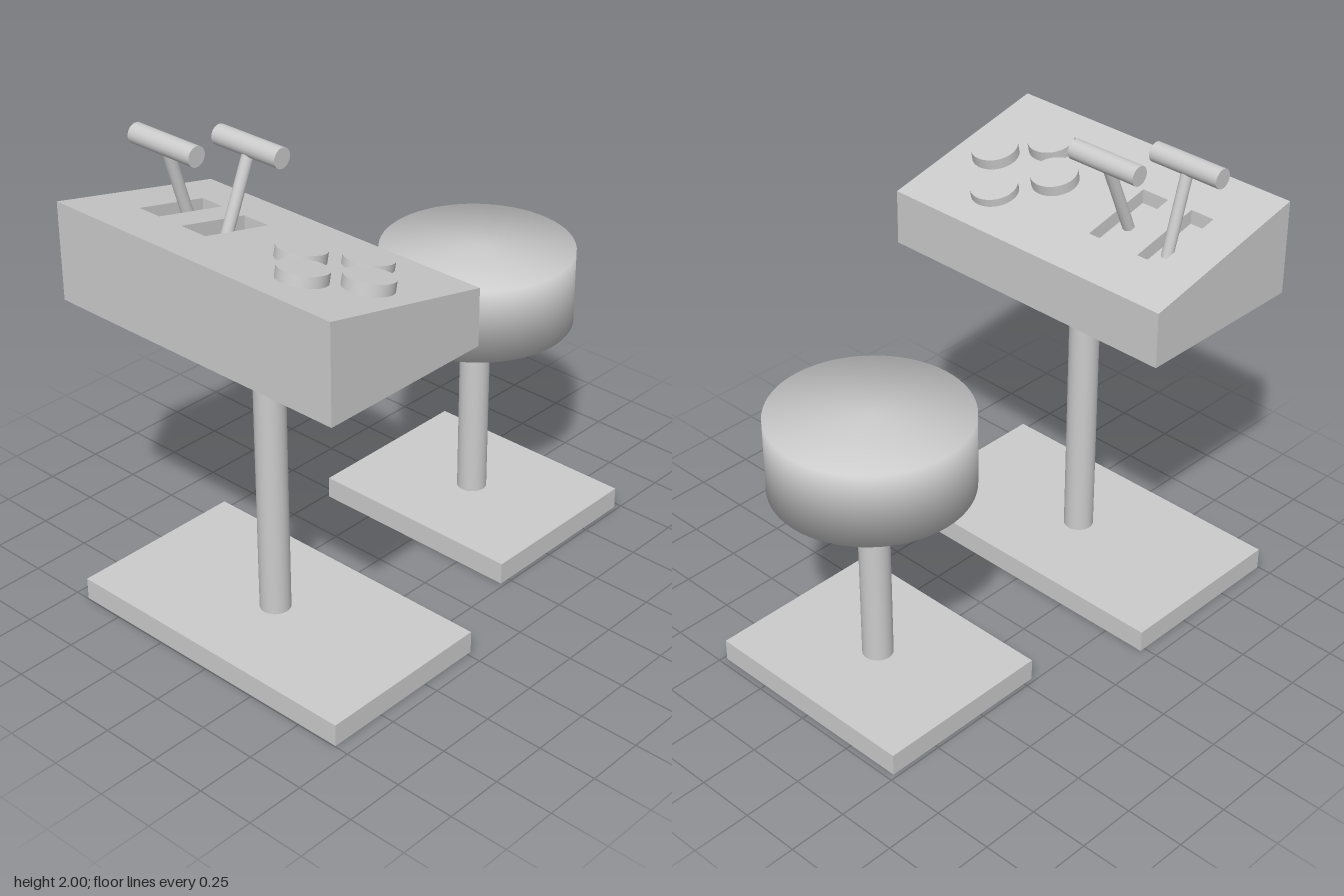
import * as THREE from 'three';

const material = new THREE.MeshStandardMaterial({ color: 0xcccccc });
const CONSOLE_X = -0.612, STOOL_X = 0.589;
const SLOPE = -0.221, SLOT_DEPTH = 0.06;
// height of the sloping panel at x
const panelY = (x) => 1.77 + SLOPE * (x + 0.995);

function add(parent, name, geometry, x = 0, y = 0, z = 0) {
  const mesh = new THREE.Mesh(geometry, material);
  mesh.name = name;
  mesh.position.set(x, y, z);
  parent.add(mesh);
  return mesh;
}

// Cylinder running from point a to point b
function rod(parent, name, a, b, radius, sides = 32) {
  const dir = b.clone().sub(a);
  const mesh = add(parent, name, new THREE.CylinderGeometry(radius, radius, dir.length(), sides));
  mesh.position.copy(a).addScaledVector(dir, 0.5);
  mesh.quaternion.setFromUnitVectors(new THREE.Vector3(0, 1, 0), dir.normalize());
  return mesh;
}

function rectangle(Type, x0, x1, z0, z1) {
  return new Type([[x0, -z1], [x1, -z1], [x1, -z0], [x0, -z0]].map((p) => new THREE.Vector2(...p)));
}

// Horizontal slab whose bottom and top follow the given height functions
function slab(shape, bottom, top) {
  const g = new THREE.ExtrudeGeometry(shape, { depth: 1, bevelEnabled: false });
  g.rotateX(-Math.PI / 2);
  const p = g.attributes.position;
  for (let i = 0; i < p.count; i++) {
    const x = p.getX(i);
    p.setY(i, p.getY(i) > 0.5 ? top(x) : bottom(x));
  }
  g.computeVertexNormals();
  return g;
}

function buildConsole() {
  const g = new THREE.Group();
  g.name = 'console';
  const outline = () => rectangle(THREE.Shape, -0.996, -0.228, -0.687, 0.687);

  add(g, 'consoleBase', new THREE.BoxGeometry(0.768, 0.095, 1.374), CONSOLE_X, 0.0475, 0);
  rod(g, 'consolePole', new THREE.Vector3(CONSOLE_X, 0.09, 0), new THREE.Vector3(CONSOLE_X, 1.37, 0), 0.063);

  // Wedge body, topped by a panel with two lever slots
  const floorY = (x) => panelY(x) - SLOT_DEPTH;
  add(g, 'consoleBody', slab(outline(), () => 1.365, floorY));
  const panel = outline();
  for (const [z0, z1] of [[-0.508, -0.4], [-0.283, -0.157]]) {
    panel.holes.push(rectangle(THREE.Path, -0.757, -0.44, z0, z1));
  }
  add(g, 'controlPanel', slab(panel, floorY, panelY));

  // Levers with crosswise grips
  const levers = [
    { top: -0.667, foot: -0.563, z: -0.445 },
    { top: -0.469, foot: -0.617, z: -0.209 },
  ];
  for (const { top, foot, z } of levers) {
    const lever = new THREE.Group();
    lever.name = 'lever';
    rod(lever, 'leverStem', new THREE.Vector3(foot, floorY(foot) - 0.01, z), new THREE.Vector3(top, 1.96, z), 0.024, 24);
    rod(lever, 'leverGrip', new THREE.Vector3(top, 1.96, z - 0.162), new THREE.Vector3(top, 1.96, z + 0.162), 0.041);
    g.add(lever);
  }

  // Diamond of round buttons, square to the panel
  const normal = new THREE.Vector3(-SLOPE, 1, 0).normalize();
  const buttons = [[-0.614, 0.178, 0.045], [-0.614, 0.505, 0.045], [-0.773, 0.34, 0.045], [-0.436, 0.34, 0.034]];
  for (const [x, z, height] of buttons) {
    const a = new THREE.Vector3(x, panelY(x), z);
    rod(g, 'button', a.clone().addScaledVector(normal, -0.015), a.clone().addScaledVector(normal, height), 0.097, 40);
  }
  return g;
}

function buildStool() {
  const g = new THREE.Group();
  g.name = 'stool';
  add(g, 'stoolBase', new THREE.BoxGeometry(0.768, 0.095, 0.968), STOOL_X, 0.0475, 0);
  rod(g, 'stoolPole', new THREE.Vector3(STOOL_X, 0.09, 0), new THREE.Vector3(STOOL_X, 0.93, 0), 0.063);
  // Drum cushion, shaded smoothly over its rims
  const profile = [[0, 0.92], [0.402, 0.92], [0.402, 1.237], [0, 1.237]].map((p) => new THREE.Vector2(...p));
  add(g, 'seat', new THREE.LatheGeometry(profile, 64), STOOL_X, 0, 0);
  return g;
}

export function createModel() {
  const model = new THREE.Group();
  model.name = 'consoleAndStool';
  model.add(buildConsole(), buildStool());
  return model;
}
